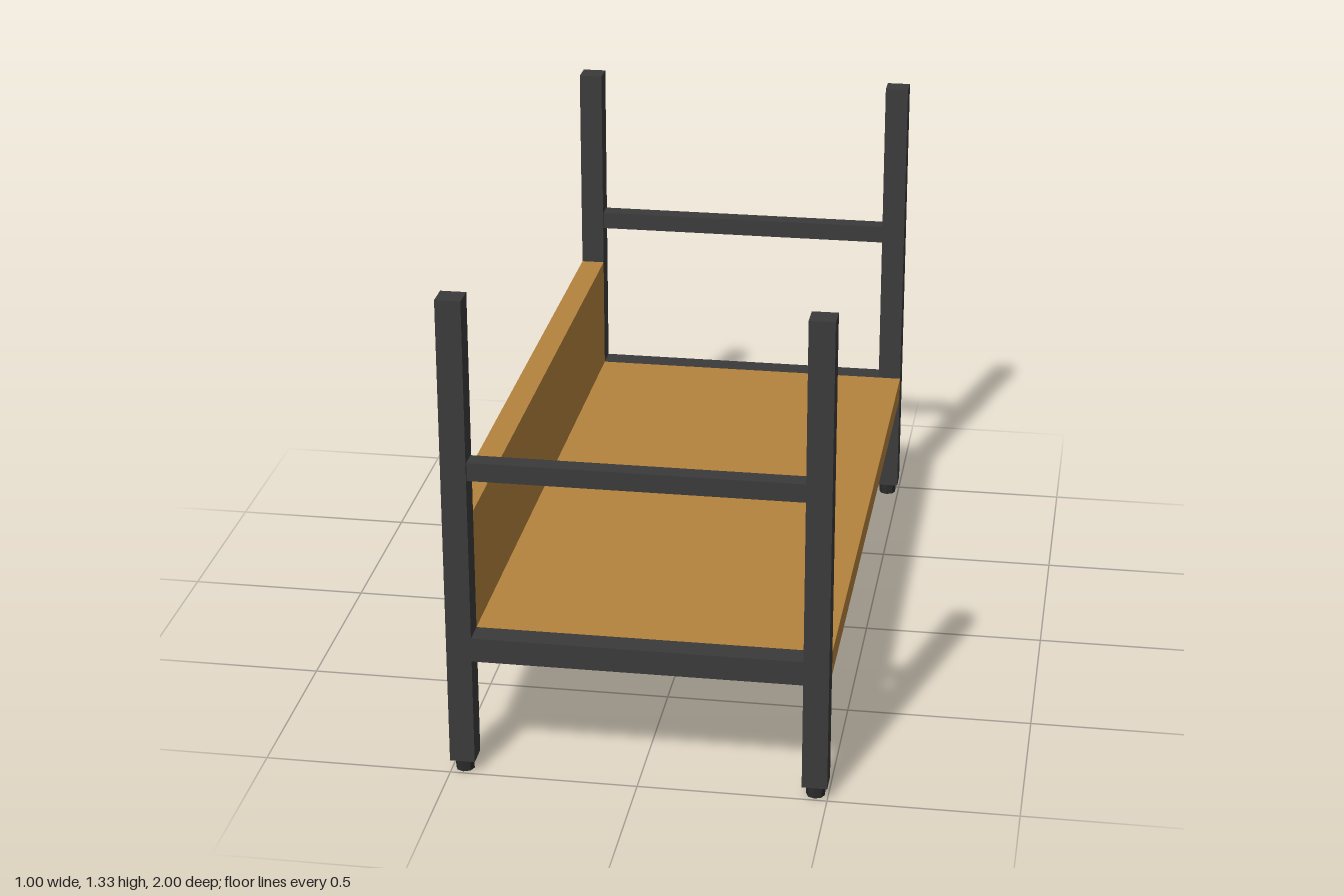
import * as THREE from 'three';

export function createModel() {
  const model = new THREE.Group();
  model.name = 'bedFrame';
  const metal = new THREE.MeshStandardMaterial({ color: 0x3a3a3a });
  const wood = new THREE.MeshStandardMaterial({ color: 0xb5833f });
  const footMetal = new THREE.MeshStandardMaterial({ color: 0x2a2a2a, flatShading: true });

  const T = 0.0667;             // post and board thickness
  const X = 0.5 - T / 2;        // post centre in x
  const Z = 1 - T / 2;          // post centre in z
  const H = 1.333;              // overall height
  const FOOT = 0.035;           // foot height
  const DECK = 0.333;           // underside of the deck

  // Box given by its centre in x and z, and its bottom and top
  function box(name, material, w, d, y0, y1, x, z) {
    const mesh = new THREE.Mesh(new THREE.BoxGeometry(w, y1 - y0, d), material);
    mesh.name = name;
    mesh.position.set(x, (y0 + y1) / 2, z);
    model.add(mesh);
  }

  for (const [end, sz] of [['front', 1], ['back', -1]]) {
    for (const [side, sx] of [['Left', 1], ['Right', -1]]) {
      // Square post on a small screw-in foot
      box(end + side + 'Post', metal, T, T, FOOT, H, sx * X, sz * Z);
      const foot = new THREE.Mesh(new THREE.CylinderGeometry(0.025, 0.025, FOOT, 8), footMetal);
      foot.name = end + side + 'Foot';
      foot.position.set(sx * X, FOOT / 2, sz * Z);
      model.add(foot);
    }
    // Cross rails between the posts
    const span = 1 - 2 * T;
    box(end + 'LowerRail', metal, span, T, DECK, DECK + T, 0, sz * Z);
    box(end + 'UpperRail', metal, span, 0.05, 0.843, 0.893, 0, sz * Z);
  }

  // Wooden deck and the upright board along the right side
  const length = 2 - 2 * T;
  box('deck', wood, 1 - T, length, DECK, DECK + T, T / 2, 0);
  box('sideBoard', wood, T, length, DECK, 0.733, -X, 0);

  return model;
}
